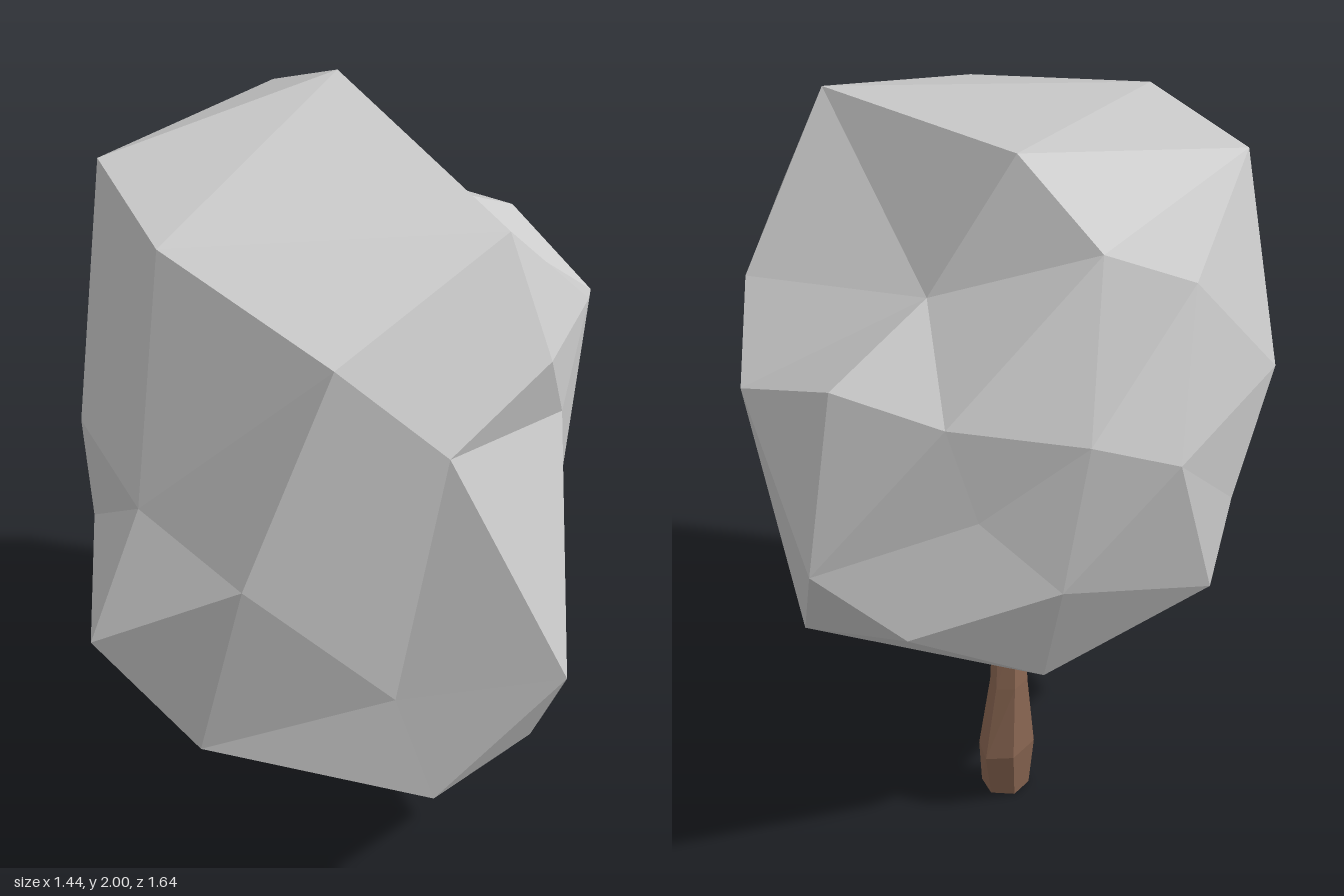
import * as THREE from 'three';
import { ConvexGeometry } from 'three/addons/geometries/ConvexGeometry.js';

// Corners of the lumpy crown, tier by tier from top to bottom
const crownCorners = [
  // top
  [-0.28, 2.0, -0.23], [0.43, 1.89, -0.05], [-0.56, 1.86, -0.29], [-0.56, 1.87, 0.32], [-0.16, 1.85, 0.51],
  [0.37, 1.73, 0.48], [-0.66, 1.71, -0.05], [-0.15, 1.66, -0.4],
  // shoulders
  [0.56, 1.59, -0.06], [0.39, 1.54, -0.41], [-0.08, 1.52, -0.68], [-0.38, 1.51, -0.64], [0.51, 1.44, 0.24],
  [-0.6, 1.41, -0.38], [0.22, 1.4, -0.64], [0.51, 1.38, -0.17], [-0.72, 1.37, 0.23], [-0.59, 1.34, 0.34],
  [-0.38, 1.32, 0.58], [-0.72, 1.3, -0.18], [-0.08, 1.25, 0.68],
  // waist
  [-0.4, 1.21, -0.54], [0.22, 1.13, 0.64], [-0.12, 1.1, -0.82], [-0.69, 1.04, 0.11], [-0.54, 1.04, 0.38],
  [-0.4, 1.01, 0.54], [-0.53, 0.97, -0.38], [-0.12, 0.91, 0.82], [-0.28, 0.89, -0.66],
  // underside
  [-0.69, 0.82, 0.03], [0.41, 0.82, -0.27], [0.72, 0.79, 0.03], [0.06, 0.76, -0.63], [-0.28, 0.73, 0.67],
  [0.41, 0.72, 0.31], [-0.39, 0.58, -0.25], [0.06, 0.57, 0.64], [-0.39, 0.47, 0.4], [-0.16, 0.45, 0.01],
  [0.48, 0.4, 0.24], [0.48, 0.38, -0.14],
].map((p) => new THREE.Vector3(...p));

// Wrap a skin around the corners as seen from the crown's centre,
// then pull each skin vertex to its true place, dents included
function crownGeometry() {
  const centre = new THREE.Vector3(-0.03, 1.17, 0);
  const size = new THREE.Vector3(0.66, 0.8, 0.74);
  const directions = crownCorners.map((p) => p.clone().sub(centre).divide(size).normalize());
  const geometry = new ConvexGeometry(directions);
  const position = geometry.attributes.position;
  const v = new THREE.Vector3();
  for (let i = 0; i < position.count; i++) {
    v.fromBufferAttribute(position, i);
    let best = 0;
    directions.forEach((d, k) => {
      if (d.distanceToSquared(v) < directions[best].distanceToSquared(v)) best = k;
    });
    position.setXYZ(i, ...crownCorners[best].toArray());
  }
  geometry.computeVertexNormals();
  return geometry;
}

// Bent six-sided trunk: each ring is [x, y, z, radiusX, radiusZ]
function trunkGeometry() {
  const rings = [
    [-0.15, 0, -0.075, 0.062, 0.065],
    [-0.198, 0.2, -0.138, 0.064, 0.092],
    [-0.232, 0.45, -0.178, 0.045, 0.055],
    [-0.24, 0.65, -0.19, 0.04, 0.045],
  ];
  const geometry = new THREE.CylinderGeometry(1, 1, 1, 6, rings.length - 1);
  const position = geometry.attributes.position;
  for (let i = 0; i < position.count; i++) {
    const [x, y, z, rx, rz] = rings[Math.round((position.getY(i) + 0.5) * (rings.length - 1))];
    position.setXYZ(i, x + position.getX(i) * rx, y, z + position.getZ(i) * rz);
  }
  geometry.computeVertexNormals();
  return geometry;
}

export function createModel() {
  const model = new THREE.Group();
  model.name = 'tree';

  const crown = new THREE.Mesh(
    crownGeometry(),
    new THREE.MeshStandardMaterial({ color: 0xcccccc, flatShading: true }),
  );
  crown.name = 'crown';

  const trunk = new THREE.Mesh(
    trunkGeometry(),
    new THREE.MeshStandardMaterial({ color: 0x8f6a55, flatShading: true }),
  );
  trunk.name = 'trunk';

  model.add(crown, trunk);
  return model;
}
